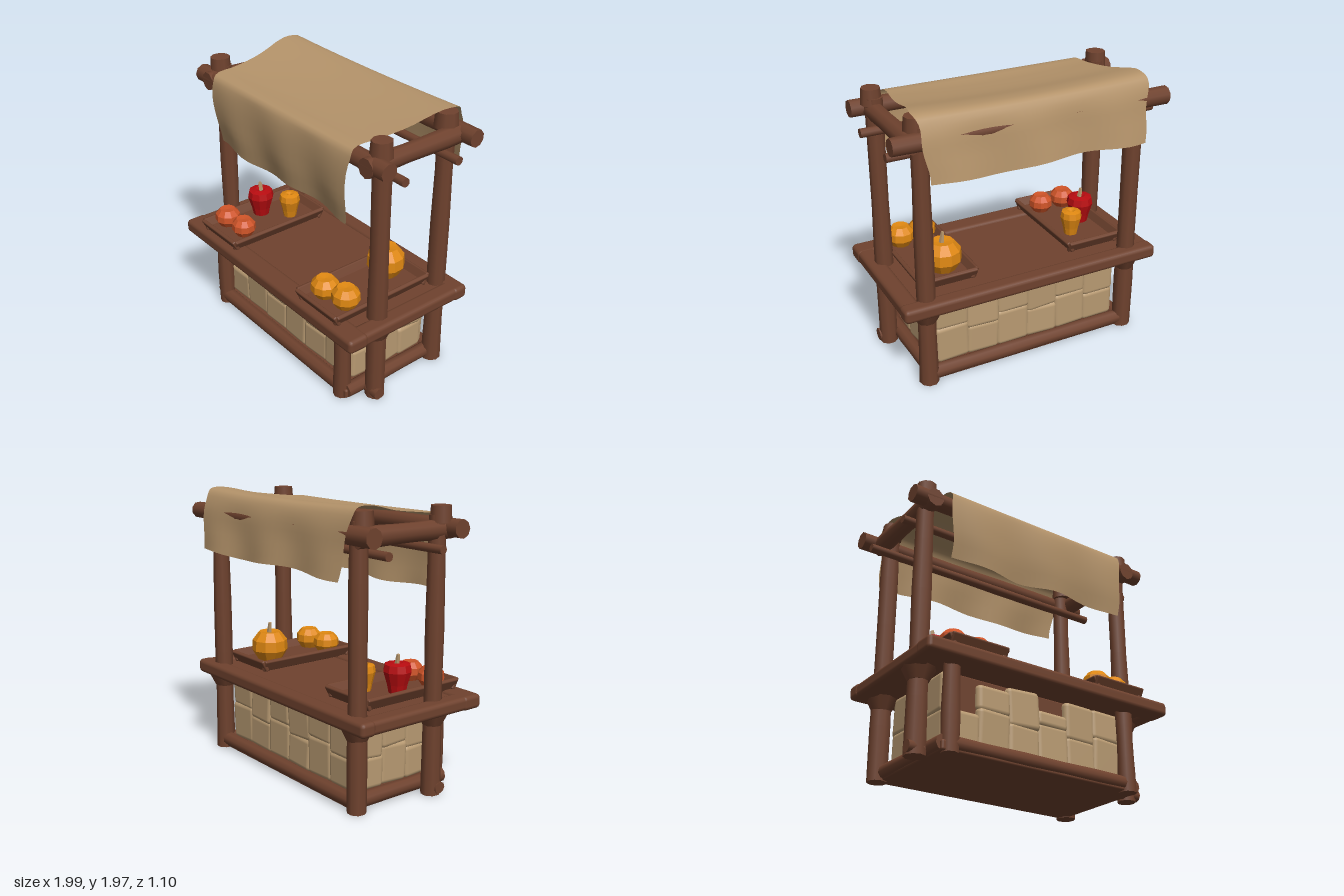
import * as THREE from 'three';
import { RoundedBoxGeometry } from 'three/addons/geometries/RoundedBoxGeometry.js';

const makeMat = (name, color, side = THREE.FrontSide) => {
  const m = new THREE.MeshStandardMaterial({ color, side });
  m.name = name;
  return m;
};

export function createModel() {
  const root = new THREE.Group();
  root.name = 'marketStall';
  const wood = makeMat('brown wood', 0x6f422e);
  const cloth = makeMat('tan canvas', 0xb4936a, THREE.DoubleSide);
  const stone = makeMat('tan stone', 0xb89a72);
  const red = makeMat('red', 0xb80c10);
  const orange = makeMat('orange', 0xdf8812);
  const tomato = makeMat('tomato', 0xcf5428);

  let seed = 7;
  const rnd = (a, b) => {
    seed = (seed * 16807) % 2147483647;
    return a + (b - a) * (seed / 2147483647);
  };

  const add = (name, geo, mat, x, y, z, parent = root) => {
    const mesh = new THREE.Mesh(geo, mat);
    mesh.name = name;
    mesh.position.set(x, y, z);
    parent.add(mesh);
    return mesh;
  };
  const faceted = (geo) => {
    const g = geo.toNonIndexed();
    g.computeVertexNormals();
    return g;
  };

  // Slightly uneven round timber along one axis
  const log = (name, axis, x, y, z, length, rTop, rBottom = rTop) => {
    const geo = new THREE.CylinderGeometry(rTop, rBottom, length, 9, 5);
    const p = geo.attributes.position, k = rnd(0, 6);
    for (let i = 0; i < p.count; i++) {
      const a = Math.atan2(p.getZ(i), p.getX(i));
      const s = 1 + 0.05 * Math.sin(p.getY(i) * 11 + k) + 0.03 * Math.sin(2 * a + k);
      p.setX(i, p.getX(i) * s);
      p.setZ(i, p.getZ(i) * s);
    }
    const m = add(name, geo, wood, x, y, z);
    if (axis === 'x') m.rotation.z = Math.PI / 2;
    if (axis === 'z') m.rotation.x = Math.PI / 2;
    return m;
  };
  const plank = (name, w, h, d, x, y, z, r = 0.02, parent = root) =>
    add(name, new RoundedBoxGeometry(w, h, d, 2, r), wood, x, y, z, parent);

  // Posts, side beams and base timbers, mirrored
  for (const s of [-1, 1]) {
    for (const [where, x, z] of [['front', 0.848, 0.22], ['back', 0.785, -0.375]]) {
      log(where + 'Post', 'y', s * x, 0.94, z, 1.88, 0.06, 0.068);
      log(where + 'PostKnob', 'y', s * (x + 0.01), 1.885, z + 0.02, 0.11, 0.07, 0.078);
      log(where + 'PostBracket', 'y', s * x, 0.535, z, 0.09, 0.11, 0.065);
    }
    log('counterLeg', 'y', s * 0.705, 0.3, 0.39, 0.6, 0.058, 0.06);
    log('sideRoofBeam', 'z', s * 0.85, 1.785, -0.04, 0.8, 0.064);
    log('sideBaseBeam', 'z', s * 0.76, 0.06, 0, 0.8, 0.05);
  }

  // Roof beams and thin rails
  log('frontRoofBeam', 'x', 0, 1.795, 0.3, 1.99, 0.062);
  log('backRoofBeam', 'x', 0, 1.795, -0.43, 1.99, 0.062);
  log('frontRail', 'x', 0, 1.675, 0.15, 1.96, 0.03);
  log('backRail', 'x', 0, 1.675, -0.3, 1.96, 0.03);

  // Base
  plank('baseFloor', 1.56, 0.07, 0.82, 0, 0.04, 0.01, 0.015);
  log('frontBaseBeam', 'x', 0, 0.062, 0.39, 1.42, 0.052);
  log('backBaseBeam', 'x', 0, 0.062, -0.375, 1.56, 0.052);
  log('crossBaseBeam', 'x', 0, 0.05, 0.24, 1.84, 0.042);

  // Counter: panel framed by thick planks
  plank('counterPanel', 1.82, 0.06, 0.94, 0, 0.615, 0.03);
  plank('counterFrontPlank', 1.95, 0.1, 0.16, 0, 0.615, 0.475, 0.03);
  plank('counterBackPlank', 1.95, 0.1, 0.12, 0, 0.615, -0.43, 0.03);
  for (const s of [-1, 1]) plank('counterSidePlank', 0.13, 0.095, 0.94, s * 0.905, 0.615, 0.03, 0.03);

  // Masonry around a wooden core
  plank('wallCore', 1.38, 0.48, 0.62, 0, 0.33, 0, 0.01);
  const block = (x, y, z, w, h, turned) => {
    const geo = new RoundedBoxGeometry(w + 0.025, h + 0.025, 0.08, 3, 0.035);
    const m = add('wallStone', geo, stone, x, y, z);
    m.rotation.set(rnd(-0.05, 0.05), (turned ? Math.PI / 2 : 0) + rnd(-0.05, 0.05), rnd(-0.05, 0.05));
  };
  const course = (cols, span, place, turned, skip) => {
    const w = span / cols;
    for (let row = 0; row < 2; row++) {
      for (let c = 0; c < cols; c++) {
        const missing = row === 1 ? skip[c] || 0 : 0;
        const split = 0.33 + (c % 2 ? 0.03 : -0.02);
        const y0 = row ? split : 0.1;
        const y1 = (row ? 0.56 : split) - missing;
        if (y1 - y0 < 0.05) continue;
        const [x, z] = place(-span / 2 + w * (c + 0.5));
        block(x, (y0 + y1) / 2, z, w, y1 - y0, turned);
      }
    }
  };
  course(6, 1.4, (t) => [t, 0.31], false, { 0: 0.3, 1: 0.04, 3: 0.11 });
  course(6, 1.4, (t) => [t, -0.31], false, {});
  course(3, 0.62, (t) => [0.69, t], true, { 1: 0.06 });
  course(3, 0.62, (t) => [-0.69, t], true, {});

  // Canvas awning: each row of points is half width, height, depth
  const drape = new THREE.CatmullRomCurve3([
    [0.71, 1.36, 0.365], [0.72, 1.55, 0.395], [0.74, 1.78, 0.395], [0.74, 1.865, 0.365],
    [0.75, 1.885, 0.2], [0.79, 1.92, -0.08], [0.83, 1.97, -0.33], [0.83, 1.955, -0.43],
    [0.815, 1.86, -0.48], [0.8, 1.7, -0.505], [0.78, 1.53, -0.53],
  ].map((p) => new THREE.Vector3(...p)));
  const sheet = new THREE.PlaneGeometry(2, 1, 24, 36);
  const sp = sheet.attributes.position;
  for (let i = 0; i < sp.count; i++) {
    const u = sp.getX(i), v = sp.getY(i) + 0.5;
    const q = drape.getPoint(v);
    const hang = Math.max(0, Math.abs(v - 0.52) - 0.25) * 4;
    const sag = v > 0.3 && v < 0.78 ? -0.025 * (1 - u * u) * Math.sin((v - 0.3) / 0.48 * Math.PI) : 0;
    sp.setXYZ(i,
      u * q.x + 0.008 * Math.sin(v * 31),
      q.y + sag + hang * 0.012 * Math.sin(u * 5 + v * 3),
      q.z + hang * 0.018 * Math.sin(u * 8 + v * 5));
  }
  sheet.computeVertexNormals();
  add('awning', sheet, cloth, 0, 0, 0);

  // Display trays with flared rims
  for (const s of [-1, 1]) {
    const tray = new THREE.Group();
    tray.name = 'tray';
    tray.position.set(s * 0.575, 0.67, 0.11);
    root.add(tray);
    plank('trayFloor', 0.38, 0.03, 0.76, 0, 0.005, 0, 0.01, tray);
    for (const t of [-1, 1]) {
      plank('traySide', 0.03, 0.09, 0.8, t * 0.195, 0.03, 0, 0.01, tray).rotation.z = -t * 0.5;
      plank('trayEnd', 0.42, 0.09, 0.03, 0, 0.03, t * 0.39, 0.01, tray).rotation.x = t * 0.5;
    }
  }

  // Lobed faceted vegetables from a small lathe profile
  const profiles = {
    round: [[0, 0], [0.65, 0.03], [0.98, 0.35], [0.95, 0.68], [0.6, 0.95], [0, 0.9]],
    pepper: [[0, 0], [0.6, 0.02], [0.72, 0.3], [0.98, 0.72], [0.88, 0.95], [0.4, 1], [0, 0.92]],
  };
  const vegetable = (name, shape, mat, x, z, r, h, stem) => {
    const geo = new THREE.LatheGeometry(profiles[shape].map(([a, b]) => new THREE.Vector2(a * r, b * h)), 10);
    const p = geo.attributes.position;
    for (let i = 0; i < p.count; i++) {
      const k = 1 + 0.05 * Math.cos(5 * Math.atan2(p.getZ(i), p.getX(i)));
      p.setX(i, p.getX(i) * k);
      p.setZ(i, p.getZ(i) * k);
    }
    const m = add(name, faceted(geo), mat, x, 0.69, z);
    m.rotation.y = rnd(0, 1);
    if (stem) {
      const st = add(name + 'Stem', faceted(new THREE.CylinderGeometry(0.012, 0.02, 0.08, 5)), cloth, x, 0.69 + h + 0.015, z);
      st.rotation.z = 0.15;
    }
  };
  vegetable('redPepper', 'pepper', red, -0.665, 0.07, 0.1, 0.21, true);
  vegetable('orangePepper', 'pepper', orange, -0.5, -0.08, 0.08, 0.19, false);
  vegetable('tomato', 'round', tomato, -0.685, 0.36, 0.095, 0.14, false);
  vegetable('tomato', 'round', tomato, -0.49, 0.35, 0.09, 0.14, false);
  vegetable('pumpkin', 'round', orange, 0.545, -0.12, 0.135, 0.23, true);
  vegetable('squash', 'round', orange, 0.49, 0.37, 0.1, 0.15, false);
  vegetable('squash', 'round', orange, 0.67, 0.34, 0.1, 0.16, false);

  return root;
}
